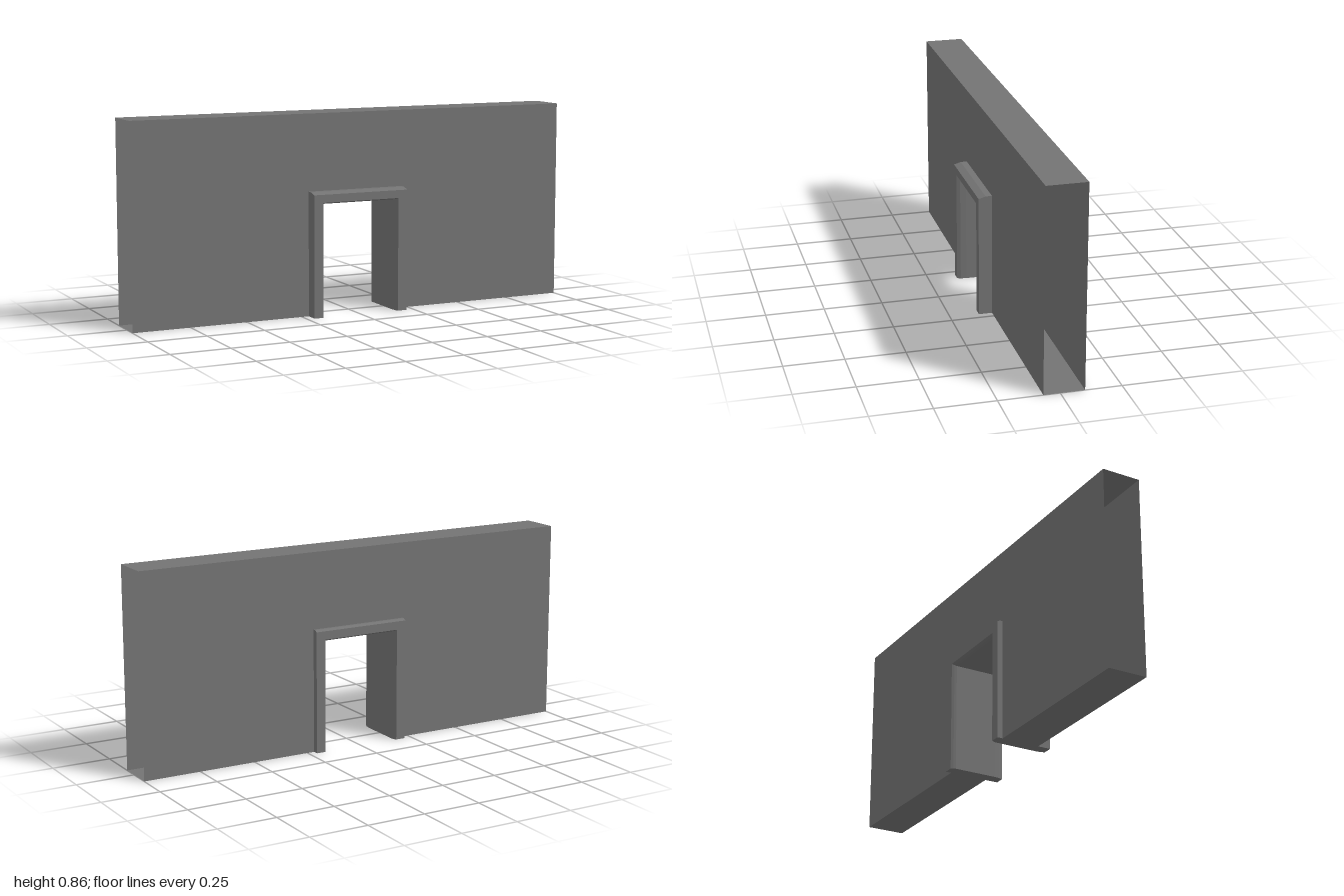
import * as THREE from 'three';

const HALF = 1, HEIGHT = 0.857, FRONT = 0.068, BACK = -0.1; // hollow wall, open at both ends
const W = 0.167, H = 0.478; // doorway half width and height

// Trim outline as [distance out at the jambs, distance up at the head, z]:
// straight jamb sides, weathered head, slightly flared inner edge
const frontTrim = [
  [0.051, 0.052, FRONT], [0.051, 0.052, 0.095], [0.051, 0.043, 0.125],
  [0.009, 0.009, 0.125], [0.003, 0.003, 0.11], [0, 0, 0.085],
];
const backTrim = [
  [0, 0, -0.105], [0.003, 0.003, -0.115], [0.009, 0.009, -0.125],
  [0.051, 0.045, -0.125], [0.051, 0.052, -0.113], [0.051, 0.052, BACK],
];

// Sweeps the trim and lining up one jamb, across the head and down the other, with mitred corners
function surroundGeometry(profile) {
  const path = ([out, up, z]) => [[-W - out, 0, z], [-W - out, H + up, z], [W + out, H + up, z], [W + out, 0, z]];
  const pos = [];
  for (let i = 0; i < profile.length - 1; i++) {
    const a = path(profile[i]), b = path(profile[i + 1]);
    for (let k = 0; k < 3; k++) {
      pos.push(...a[k], ...b[k + 1], ...a[k + 1], ...a[k], ...b[k], ...b[k + 1]);
    }
  }
  const g = new THREE.BufferGeometry();
  g.setAttribute('position', new THREE.Float32BufferAttribute(pos, 3));
  g.computeVertexNormals();
  return g;
}

export function createModel() {
  const group = new THREE.Group();
  const material = new THREE.MeshStandardMaterial({ color: 0x737373, flatShading: true, side: THREE.DoubleSide });
  const add = (name, geometry) => {
    const mesh = new THREE.Mesh(geometry, material);
    mesh.name = name;
    group.add(mesh);
    return mesh;
  };

  // Front and back wall faces, notched for the doorway
  const outline = new THREE.Shape([
    [-HALF, 0], [-W, 0], [-W, H], [W, H], [W, 0], [HALF, 0], [HALF, HEIGHT], [-HALF, HEIGHT],
  ].map(([x, y]) => new THREE.Vector2(x, y)));
  add('wallFront', new THREE.ShapeGeometry(outline)).position.z = FRONT;
  add('wallBack', new THREE.ShapeGeometry(outline).rotateY(Math.PI)).position.z = BACK;

  // Top of the wall
  const depth = FRONT - BACK, midZ = (FRONT + BACK) / 2;
  const wallTop = new THREE.PlaneGeometry(2 * HALF, depth).rotateX(-Math.PI / 2);
  add('wallTop', wallTop).position.set(0, HEIGHT, midZ);

  // Door surround: front trim, lining and back trim in one sweep
  add('doorSurround', surroundGeometry([...frontTrim, ...backTrim]));

  // Underside of the wall and feet closing the trim, either side of the doorway
  for (const [side, label] of [[1, 'Left'], [-1, 'Right']]) {
    const base = new THREE.PlaneGeometry(HALF - W, depth).rotateX(Math.PI / 2);
    add('wallBase' + label, base).position.set(side * (HALF + W) / 2, 0, midZ);

    for (const [name, points] of [
      ['frontTrimFoot', [...frontTrim, [0, 0, FRONT]]],
      ['backTrimFoot', [...backTrim, [0, 0, BACK]]],
    ]) {
      const foot = new THREE.Shape(points.map(([out, , z]) => new THREE.Vector2(side * (W + out), z)));
      add(name + label, new THREE.ShapeGeometry(foot).rotateX(Math.PI / 2));
    }
  }
  return group;
}
